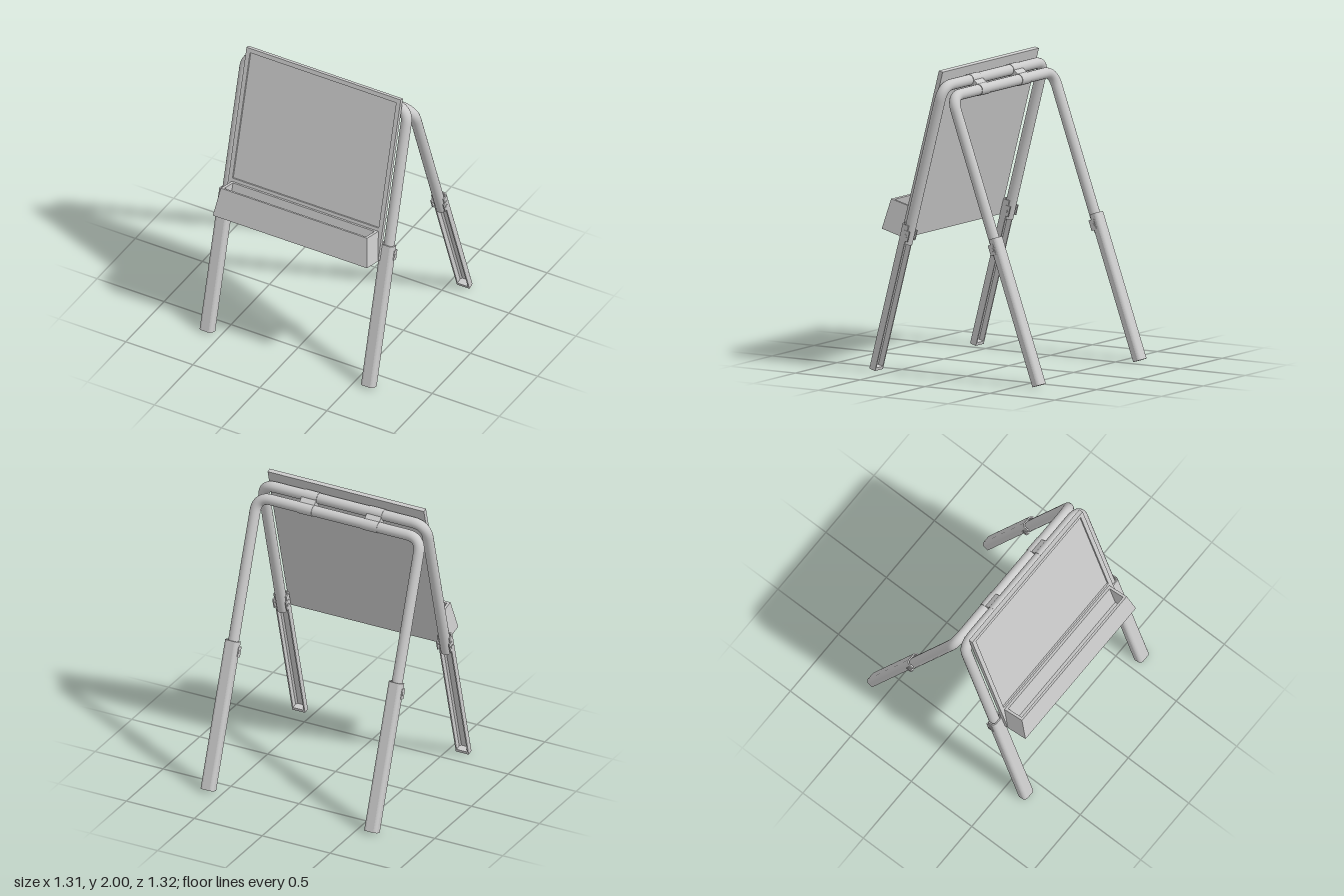
import * as THREE from 'three';

const material = new THREE.MeshStandardMaterial({ color: 0xcccccc });
const doubleSided = new THREE.MeshStandardMaterial({ color: 0xcccccc, side: THREE.DoubleSide });

function add(parent, name, geometry, x = 0, y = 0, z = 0, mat = material) {
  const mesh = new THREE.Mesh(geometry, mat);
  mesh.name = name;
  mesh.position.set(x, y, z);
  parent.add(mesh);
  return mesh;
}

const BAR = 0.036;   // tube radius
const LEG_X = 0.602; // tube centre from the middle
const TUBE_END = -1.09;

// Bent tube: leg, rounded corner, top bar, rounded corner, leg
function tubeGeometry() {
  const r = 0.1;
  const p = (x, y) => new THREE.Vector3(x, y, 0);
  const path = new THREE.CurvePath();
  path.add(new THREE.LineCurve3(p(-LEG_X, TUBE_END), p(-LEG_X, -r)));
  path.add(new THREE.QuadraticBezierCurve3(p(-LEG_X, -r), p(-LEG_X, 0), p(-LEG_X + r, 0)));
  path.add(new THREE.LineCurve3(p(-LEG_X + r, 0), p(LEG_X - r, 0)));
  path.add(new THREE.QuadraticBezierCurve3(p(LEG_X - r, 0), p(LEG_X, 0), p(LEG_X, -r)));
  path.add(new THREE.LineCurve3(p(LEG_X, -r), p(LEG_X, TUBE_END)));
  return new THREE.TubeGeometry(path, 200, BAR, 20, false);
}

// Outline of the leg channel, outer side towards -y of the shape (+z once stood up)
function channelShape(open) {
  const w = 0.0475, d = 0.047, b = -0.009, c = 0.02, t = 0.009;
  const s = new THREE.Shape();
  s.moveTo(-w, -b);
  s.lineTo(-w, -d + c);
  s.quadraticCurveTo(-w + 0.004, -d + 0.004, -w + c, -d);
  s.lineTo(w - c, -d);
  s.quadraticCurveTo(w - 0.004, -d + 0.004, w, -d + c);
  s.lineTo(w, -b);
  if (open) {
    s.lineTo(w - t, -b);
    s.lineTo(w - t, -d + c);
    s.lineTo(w - c, -d + t);
    s.lineTo(-w + c, -d + t);
    s.lineTo(-w + t, -d + c);
    s.lineTo(-w + t, -b);
  }
  s.closePath();
  return s;
}

function channelGeometry(open, top, bottom) {
  const g = new THREE.ExtrudeGeometry(channelShape(open), {
    depth: top - bottom, bevelEnabled: false, curveSegments: 5,
  });
  return g.rotateX(-Math.PI / 2).translate(0, bottom, 0);
}

// One tilted frame: origin on the top bar, legs down -y, outside faces +z
function makeFrame(name, bottom) {
  const frame = new THREE.Group();
  frame.name = name;
  add(frame, 'bentTube', tubeGeometry());
  for (const side of [-1, 1]) {
    const leg = new THREE.Group();
    leg.name = side > 0 ? 'leftLeg' : 'rightLeg';
    leg.position.x = side * LEG_X;
    frame.add(leg);
    add(leg, 'tubeEnd', new THREE.CircleGeometry(BAR, 20).rotateX(Math.PI / 2), 0, TUBE_END, 0);
    add(leg, 'legChannel', channelGeometry(true, -0.96, bottom));
    add(leg, 'footCap', channelGeometry(false, bottom + 0.02, bottom));
    // Clip lugs and locking pin where the channel grips the tube
    for (const e of [-1, 1])
      add(leg, 'clipLug', new THREE.BoxGeometry(0.009, 0.07, 0.04), e * 0.046, -1.03, -0.008);
    add(leg, 'lockPin', new THREE.CylinderGeometry(0.012, 0.012, 0.108, 16).rotateZ(Math.PI / 2), 0, -1.03, -0.004);
  }
  return frame;
}

// Flat-sided loft through rectangles [halfWidth, zBack, zFront, y], capped at both ends
function loftRects(rects) {
  const rings = rects.map(([w, z0, z1, y]) => [[-w, y, z1], [w, y, z1], [w, y, z0], [-w, y, z0]]);
  const pos = [];
  const quad = (a, b, c, d) => [a, b, c, a, c, d].forEach((v) => pos.push(...v));
  for (let k = 0; k < rings.length - 1; k++)
    for (let i = 0; i < 4; i++) {
      const j = (i + 1) % 4;
      quad(rings[k][i], rings[k][j], rings[k + 1][j], rings[k + 1][i]);
    }
  quad(...[...rings[0]].reverse());
  quad(...rings[rings.length - 1]);
  const g = new THREE.BufferGeometry();
  g.setAttribute('position', new THREE.Float32BufferAttribute(pos, 3));
  g.computeVertexNormals();
  return g;
}

function makeBoard() {
  const board = new THREE.Group();
  board.name = 'board';
  const w = 0.575, top = 0.08, bottom = -1.072, rim = 0.03;
  add(board, 'backPanel', new THREE.BoxGeometry(2 * w, top - bottom, 0.018), 0, (top + bottom) / 2, 0.051);

  // Raised border around the writing surface
  const rect = (P, x, y0, y1) => {
    const s = new P();
    s.moveTo(-x, y0); s.lineTo(x, y0); s.lineTo(x, y1); s.lineTo(-x, y1); s.closePath();
    return s;
  };
  const border = rect(THREE.Shape, w, bottom, top);
  border.holes.push(rect(THREE.Path, w - rim, -0.845, top - rim));
  add(board, 'border', new THREE.ExtrudeGeometry(border, { depth: 0.012, bevelEnabled: false }), 0, 0, 0.06);

  // Open-topped tray, wider at its base
  add(board, 'tray', loftRects([
    [0.575, 0.07, 0.223, -1.072],
    [0.546, 0.07, 0.222, -0.868],
    [0.528, 0.09, 0.205, -0.868],
    [0.528, 0.09, 0.205, -1.05],
  ]), 0, 0, 0, doubleSided);
  return board;
}

export function createModel() {
  const model = new THREE.Group();
  model.name = 'easel';

  const front = makeFrame('frontFrame', -1.967);
  front.position.set(0, 1.904, 0.118);
  front.rotation.x = -0.2583;
  front.add(makeBoard());

  const back = makeFrame('backFrame', -1.957);
  back.position.set(0, 1.845, 0.05);
  back.rotation.set(-0.344, Math.PI, 0, 'YXZ');
  model.add(front, back);

  // Hinge straps joining the two top bars
  const gap = front.position.clone().sub(back.position);
  for (const side of [-1, 1]) {
    const hinge = new THREE.Group();
    hinge.name = side > 0 ? 'leftHinge' : 'rightHinge';
    hinge.position.x = side * 0.24;
    for (const bar of [front, back])
      add(hinge, 'hingeCollar', new THREE.CylinderGeometry(0.039, 0.039, 0.108, 24).rotateZ(Math.PI / 2),
        0, bar.position.y, bar.position.z);
    const web = add(hinge, 'hingeWeb', new THREE.BoxGeometry(0.108, 0.056, gap.length()),
      0, back.position.y + gap.y / 2, back.position.z + gap.z / 2);
    web.rotation.x = -Math.atan2(gap.y, gap.z);
    model.add(hinge);
  }
  return model;
}
